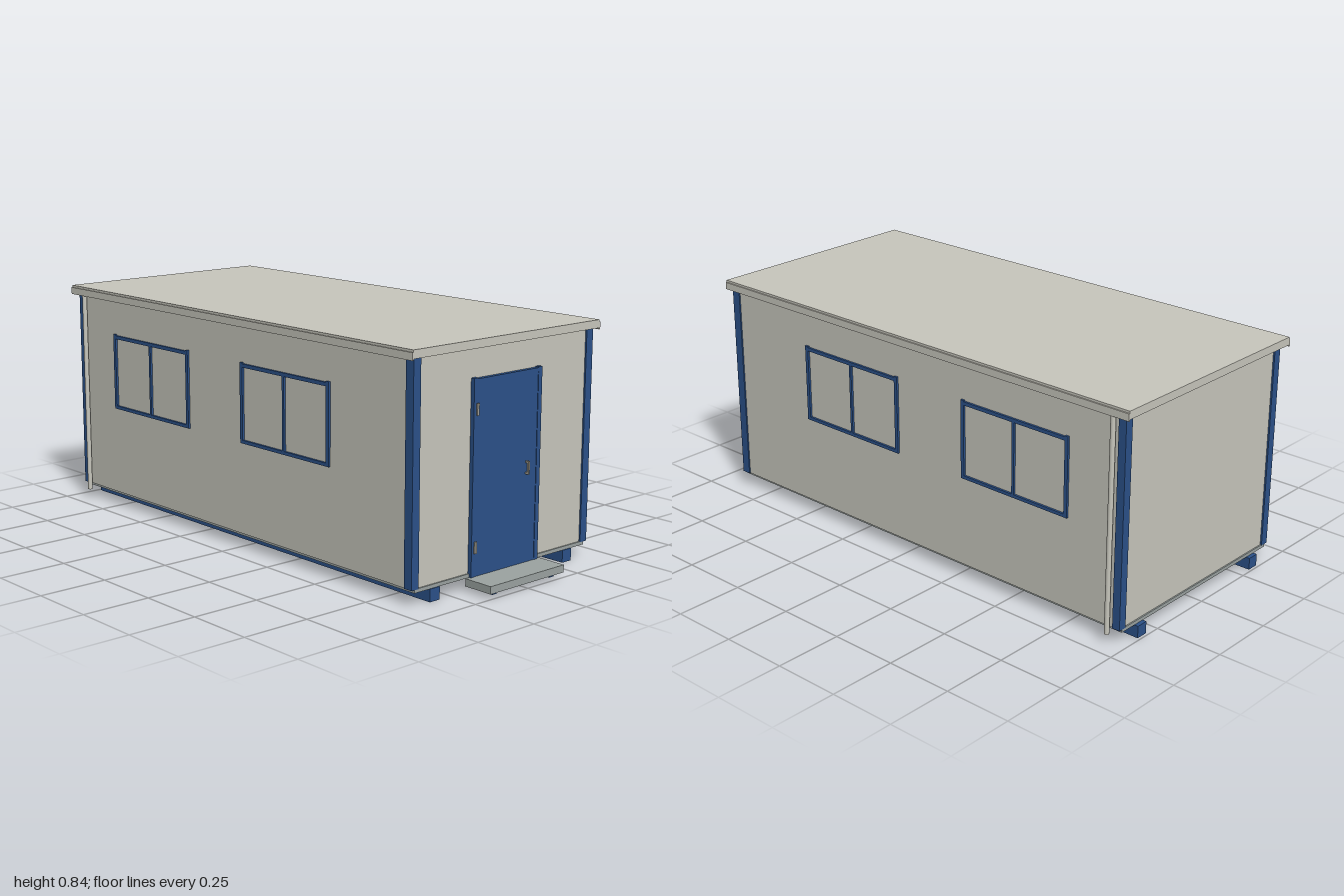
import * as THREE from 'three';

const mat = (name, color) => {
  const m = new THREE.MeshStandardMaterial({ color });
  m.name = name;
  return m;
};

export function createModel() {
  const cream = mat('cream panel', 0xc8c7bd);
  const blue = mat('blue paint', 0x2b5189);
  const grey = mat('grey metal', 0x9ba3a1);
  const steel = mat('steel fittings', 0xa39f94);

  const model = new THREE.Group();
  model.name = 'portableCabin';

  const group = (name, parent = model) => {
    const g = new THREE.Group();
    g.name = name;
    parent.add(g);
    return g;
  };
  // Box given by its minimum and maximum on each axis
  const box = (name, material, [x0, x1], [y0, y1], [z0, z1], parent = model) => {
    const mesh = new THREE.Mesh(new THREE.BoxGeometry(x1 - x0, y1 - y0, z1 - z0), material);
    mesh.position.set((x0 + x1) / 2, (y0 + y1) / 2, (z0 + z1) / 2);
    mesh.name = name;
    parent.add(mesh);
    return mesh;
  };
  const span = (c, size) => [c - size / 2, c + size / 2];

  // Body, floor and roof
  box('walls', cream, [-0.97, 0.88], [0.055, 0.812], [-0.422, 0.422]);
  box('floor', grey, [-0.975, 0.885], [0.044, 0.057], [-0.413, 0.413]);
  box('roof', cream, [-1, 0.9], [0.811, 0.84], [-0.443, 0.443]);

  // Skids, gutters and downpipes on both long sides
  for (const s of [1, -1]) {
    box('skid', blue, [-0.99, 0.888], [0, 0.0445], span(s * 0.323, 0.045));
    box('gutter', cream, [-1, 0.9], [0.806, 0.832], span(s * 0.4445, 0.006));

    const pipe = new THREE.Mesh(new THREE.CylinderGeometry(0.009, 0.009, 0.777, 16), cream);
    pipe.position.set(-0.93, 0.4215, s * 0.435);
    pipe.name = 'downpipe';
    model.add(pipe);

    // Corner posts
    box('cornerPost', blue, [-0.976, -0.946], [0.055, 0.811], span(s * 0.411, 0.032));
    box('cornerPost', blue, [0.851, 0.886], [0.055, 0.811], span(s * 0.411, 0.032));
  }

  // Windows: frame bars and a centre bar, two on each long side
  for (const s of [1, -1]) {
    for (const cx of [-0.514, 0.256]) {
      const win = group('window');
      const z = span(s * 0.425, 0.01);
      for (const dx of [-0.227, 0.227]) box('windowJamb', blue, span(cx + dx, 0.014), [0.388, 0.677], z, win);
      box('windowCentreBar', blue, span(cx, 0.01), [0.395, 0.665], z, win);
      box('windowHead', blue, span(cx, 0.45), [0.66, 0.673], z, win);
      box('windowSill', blue, span(cx, 0.45), [0.388, 0.4], z, win);
    }
  }

  // Door with frame, hinges and handle
  const door = group('door');
  box('doorLeaf', blue, [0.878, 0.893], [0.045, 0.705], [-0.146, 0.147], door);
  for (const z of [-0.153, 0.154]) box('doorJamb', blue, [0.878, 0.895], [0.045, 0.713], span(z, 0.018), door);
  box('doorHead', blue, [0.878, 0.895], [0.697, 0.71], [-0.15, 0.15], door);
  for (const y of [0.146, 0.61]) box('hinge', steel, [0.89, 0.901], span(y, 0.04), span(0.148, 0.009), door);
  box('handleGrip', steel, [0.901, 0.907], [0.354, 0.4], span(-0.095, 0.007), door);
  for (const y of [0.3575, 0.3965]) box('handleFoot', steel, [0.891, 0.903], span(y, 0.007), span(-0.095, 0.007), door);

  // Entrance step on two brackets
  const step = group('step');
  box('stepTread', grey, [0.886, 1], [0.018, 0.0445], [-0.178, 0.18], step);
  for (const z of [-0.139, 0.14]) box('stepBracket', blue, [0.87, 0.98], [0.005, 0.019], span(z, 0.021), step);

  return model;
}
